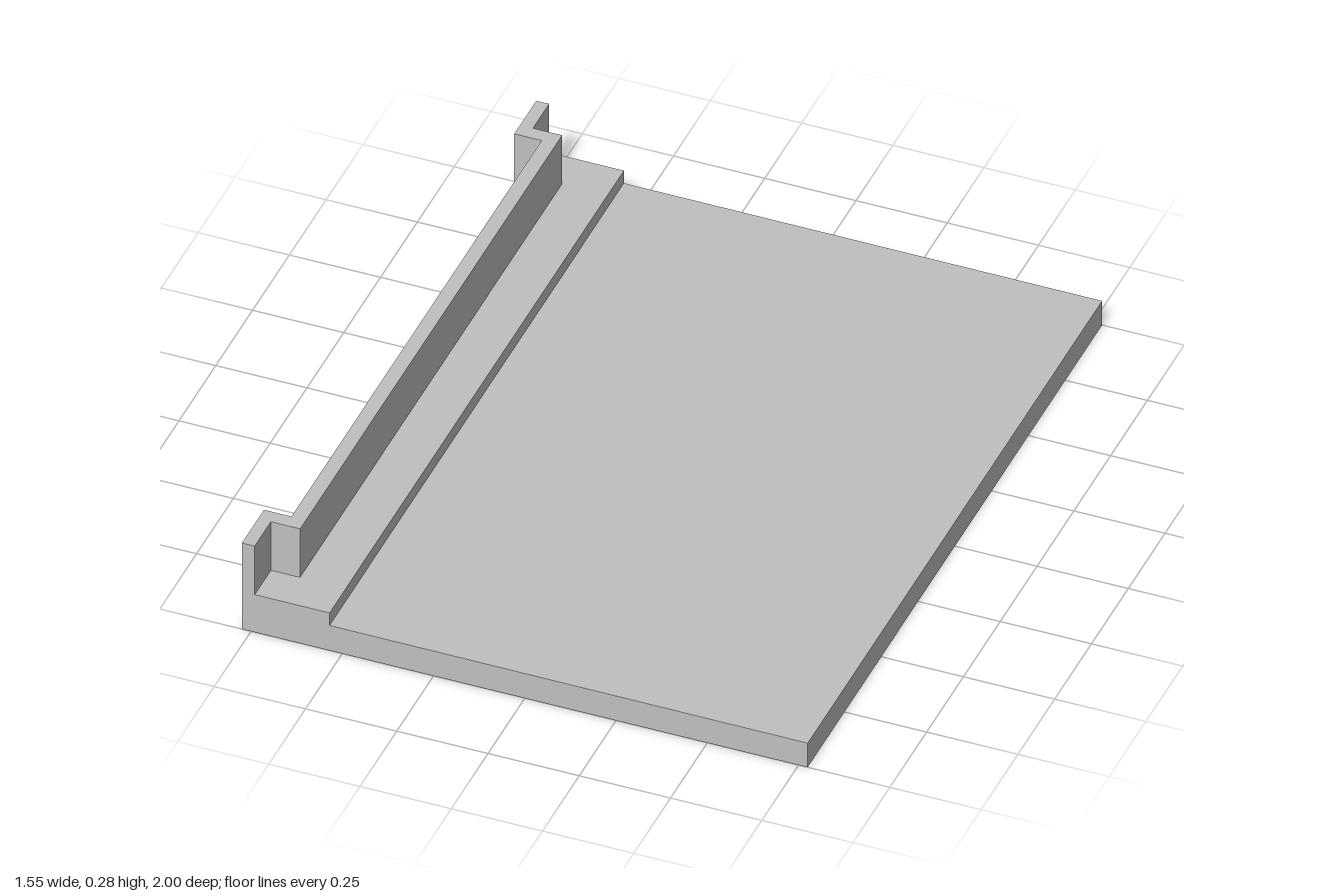
import * as THREE from 'three';

export function createModel() {
  const model = new THREE.Group();
  const grey = new THREE.MeshStandardMaterial({ color: 0xc0c0c0, side: THREE.DoubleSide });
  grey.name = 'plain grey';

  const W = 0.775, L = 1, STEP = -0.535;            // half width, half length, step line
  const SHEET = 0.08, LEDGE = 0.12, TOP = 0.275;    // heights

  // Footprint lines of the ridge as [x, z]
  const outer = [[-W, -L], [-W, -0.85], [-0.7, -0.85], [-0.7, 0.85], [-W, 0.85], [-W, L]];
  const inner = [[-0.74, L], [-0.74, 0.89], [-0.66, 0.89], [-0.66, -0.89], [-0.74, -0.89], [-0.74, -L]];

  const add = (name, geometry) => {
    const mesh = new THREE.Mesh(geometry, grey);
    mesh.name = name;
    model.add(mesh);
    return mesh;
  };
  const shape = (pts) => new THREE.ShapeGeometry(new THREE.Shape(pts.map(([x, y]) => new THREE.Vector2(x, y))));

  // Upright thin wall along a path of [x, z] points
  const wall = (name, path, y0, y1) => {
    const pos = [];
    for (let i = 0; i < path.length - 1; i++) {
      const [ax, az] = path[i], [bx, bz] = path[i + 1];
      pos.push(ax, y0, az, bx, y0, bz, bx, y1, bz, ax, y0, az, bx, y1, bz, ax, y1, az);
    }
    const g = new THREE.BufferGeometry();
    g.setAttribute('position', new THREE.Float32BufferAttribute(pos, 3));
    g.computeVertexNormals();
    return add(name, g);
  };
  // Level surface from [x, z] points
  const level = (name, pts, y) =>
    add(name, shape(pts.map(([x, z]) => [x, -z])).rotateX(-Math.PI / 2).translate(0, y, 0));

  // Main sheet, falling very slightly towards the free edge
  const fall = 0.003;
  const sheet = level('mainSheet', [[STEP, L], [W, L], [W, -L], [STEP, -L]], 0);
  const p = sheet.geometry.attributes.position;
  for (let i = 0; i < p.count; i++) p.setY(i, p.getX(i) > 0 ? SHEET - fall : SHEET);
  sheet.geometry.computeVertexNormals();

  // Raised ledge and hollow ridge
  level('ledgeTop', [[STEP, L], [STEP, -L], ...[...inner].reverse()], LEDGE);
  level('ridgeTop', [...outer, ...inner], TOP);
  wall('ledgeStep', [[STEP, L], [STEP, -L]], SHEET, LEDGE);
  wall('ridgeInnerWall', inner, LEDGE, TOP);
  wall('ridgeOuterWall', outer, 0, TOP);
  wall('freeEdgeWall', [[W, L], [W, -L]], 0, SHEET - fall);

  // End walls; the underside stays open
  const profile = [[-W, 0], [W, 0], [W, SHEET - fall], [STEP, SHEET], [STEP, LEDGE],
    [-0.74, LEDGE], [-0.74, TOP], [-W, TOP]];
  add('frontWall', shape(profile).translate(0, 0, L));
  add('backWall', shape(profile.map(([x, y]) => [-x, y])).rotateY(Math.PI).translate(0, 0, -L));

  return model;
}
